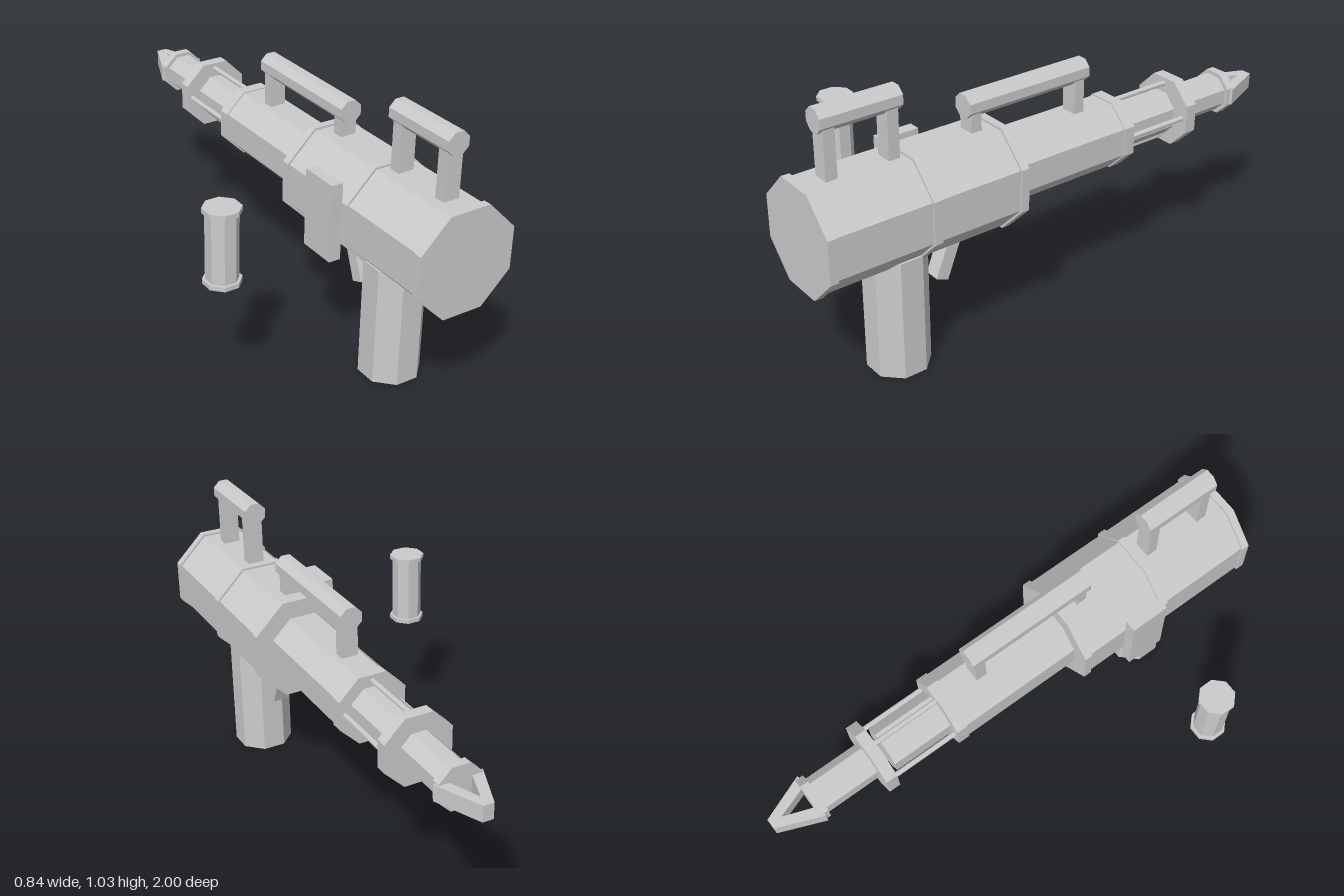
import * as THREE from 'three';

const AX = 0.232, AY = 0.608; // barrel axis
const mat = new THREE.MeshStandardMaterial({ color: 0xcccccc, flatShading: true });

export function createModel() {
  const model = new THREE.Group();

  const add = (name, geometry, x, y, z) => {
    const mesh = new THREE.Mesh(geometry, mat);
    mesh.name = name;
    mesh.position.set(x, y, z);
    model.add(mesh);
    return mesh;
  };

  // Octagonal prism with flat sides facing the axes; a = centre to flat
  const prism = (a, length) => {
    const r = a / Math.cos(Math.PI / 8);
    return new THREE.CylinderGeometry(r, r, length, 8, 1, false, Math.PI / 8);
  };
  const alongZ = (name, a, z0, z1, x = AX, y = AY) =>
    add(name, prism(a, Math.abs(z1 - z0)).rotateX(Math.PI / 2), x, y, (z0 + z1) / 2);
  const upright = (name, a, y0, y1, x, z) =>
    add(name, prism(a, y1 - y0), x, (y0 + y1) / 2, z);
  const box = (name, x0, x1, y0, y1, z0, z1) =>
    add(name, new THREE.BoxGeometry(x1 - x0, y1 - y0, z1 - z0),
      (x0 + x1) / 2, (y0 + y1) / 2, (z0 + z1) / 2);

  // Main body with three bands
  alongZ('body', 0.18, 0.245, 0.99);
  for (const z of [0.235, 0.585, 0.97]) alongZ('bodyBand', 0.188, z, z + 0.03);

  // Stepped barrel
  alongZ('rearBarrel', 0.122, 0.25, -0.26);
  alongZ('rearCollar', 0.127, -0.245, -0.29);
  alongZ('innerBarrel', 0.082, -0.28, -0.53);
  alongZ('frontCollar', 0.127, -0.55, -0.595);
  alongZ('frontBarrel', 0.066, -0.58, -0.83);
  alongZ('muzzleRing', 0.08, -0.812, -0.845);

  // Four rods joining the collars
  for (let i = 0; i < 4; i++) {
    const t = i * Math.PI / 2;
    alongZ('rod', 0.009, -0.27, -0.57, AX + 0.105 * Math.cos(t), AY + 0.105 * Math.sin(t));
  }

  // Pointed muzzle frame, outlined in plan (x, -z)
  const outline = [[-0.09, 0.83], [-0.02, 1], [0.02, 1], [0.09, 0.83], [0.052, 0.815],
    [0, 0.955], [-0.052, 0.815]].map(([x, y]) => new THREE.Vector2(x, y));
  add('muzzleProng', new THREE.ExtrudeGeometry(new THREE.Shape(outline),
    { depth: 0.06, bevelEnabled: false }).rotateX(-Math.PI / 2), AX, AY - 0.03, 0);

  // Carrying handles: bar on two posts
  const handle = (name, barY, z0, z1, posts) => {
    alongZ(name + 'Bar', 0.041, z0, z1, AX, barY);
    for (const [z, foot] of posts) {
      box(name + 'Post', AX - 0.031, AX + 0.031, foot, barY - 0.02, z - 0.021, z + 0.021);
    }
  };
  handle('rearHandle', 0.99, 0.62, 0.918, [[0.884, 0.77], [0.655, 0.77]]);
  handle('frontHandle', 0.88, -0.145, 0.365, [[0.333, 0.77], [-0.11, 0.71]]);

  // Grip and slanted trigger
  upright('grip', 0.104, 0, 0.45, AX, 0.652);
  const trigger = add('trigger', new THREE.BoxGeometry(0.06, 0.2, 0.05), AX, 0.367, 0.447);
  trigger.rotation.x = -0.37;

  // Side plate
  box('sidePlate', 0.01, 0.055, 0.46, 0.75, 0.425, 0.575);

  // Separate canister with end caps
  const cx = -0.362, cz = 0.5;
  upright('canister', 0.053, 0.475, 0.735, cx, cz);
  upright('canisterCap', 0.062, 0.467, 0.484, cx, cz);
  upright('canisterCap', 0.062, 0.729, 0.746, cx, cz);

  return model;
}
